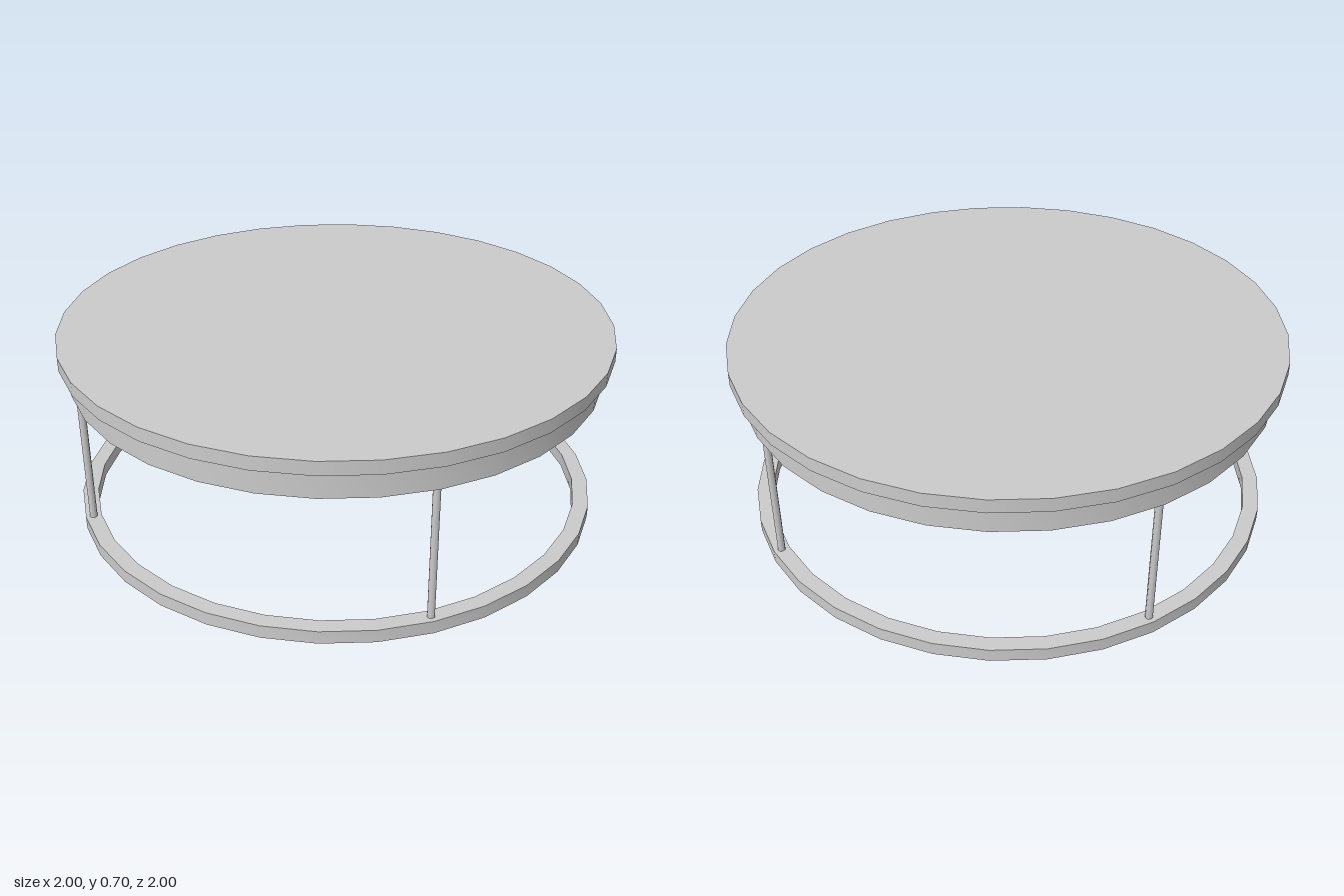
import * as THREE from 'three';
import { toCreasedNormals } from 'three/addons/utils/BufferGeometryUtils.js';

const SIDES = 32;
const OUTER = 0.967, INNER = 0.91;
const MID = (OUTER + INNER) / 2;

export function createModel() {
  const table = new THREE.Group();
  table.name = 'roundTable';
  const material = new THREE.MeshStandardMaterial({ color: 0xcccccc });

  const add = (name, geometry, x, y, z) => {
    const mesh = new THREE.Mesh(geometry, material);
    mesh.name = name;
    mesh.position.set(x, y, z);
    table.add(mesh);
  };

  // Rectangular section swept round the vertical axis
  const ring = (height) => {
    const section = [
      [INNER, 0], [OUTER, 0], [OUTER, height], [INNER, height], [INNER, 0],
    ].map(([r, y]) => new THREE.Vector2(r, y));
    return toCreasedNormals(new THREE.LatheGeometry(section, SIDES), 0.5);
  };

  // Table top, overhanging the apron
  add('tableTop', new THREE.CylinderGeometry(1, 1, 0.05, SIDES), 0, 0.675, 0);

  // Hollow apron under the top and open ring on the floor
  add('apron', ring(0.1), 0, 0.55, 0);
  add('baseRing', ring(0.048), 0, 0, 0);

  // Four slim rods centred on the rings
  const rod = new THREE.CylinderGeometry(0.0135, 0.0135, 0.502, 8);
  ['frontLeg', 'leftLeg', 'backLeg', 'rightLeg'].forEach((name, i) => {
    const angle = (i * Math.PI) / 2;
    add(name, rod, MID * Math.sin(angle), 0.299, MID * Math.cos(angle));
  });

  return table;
}
